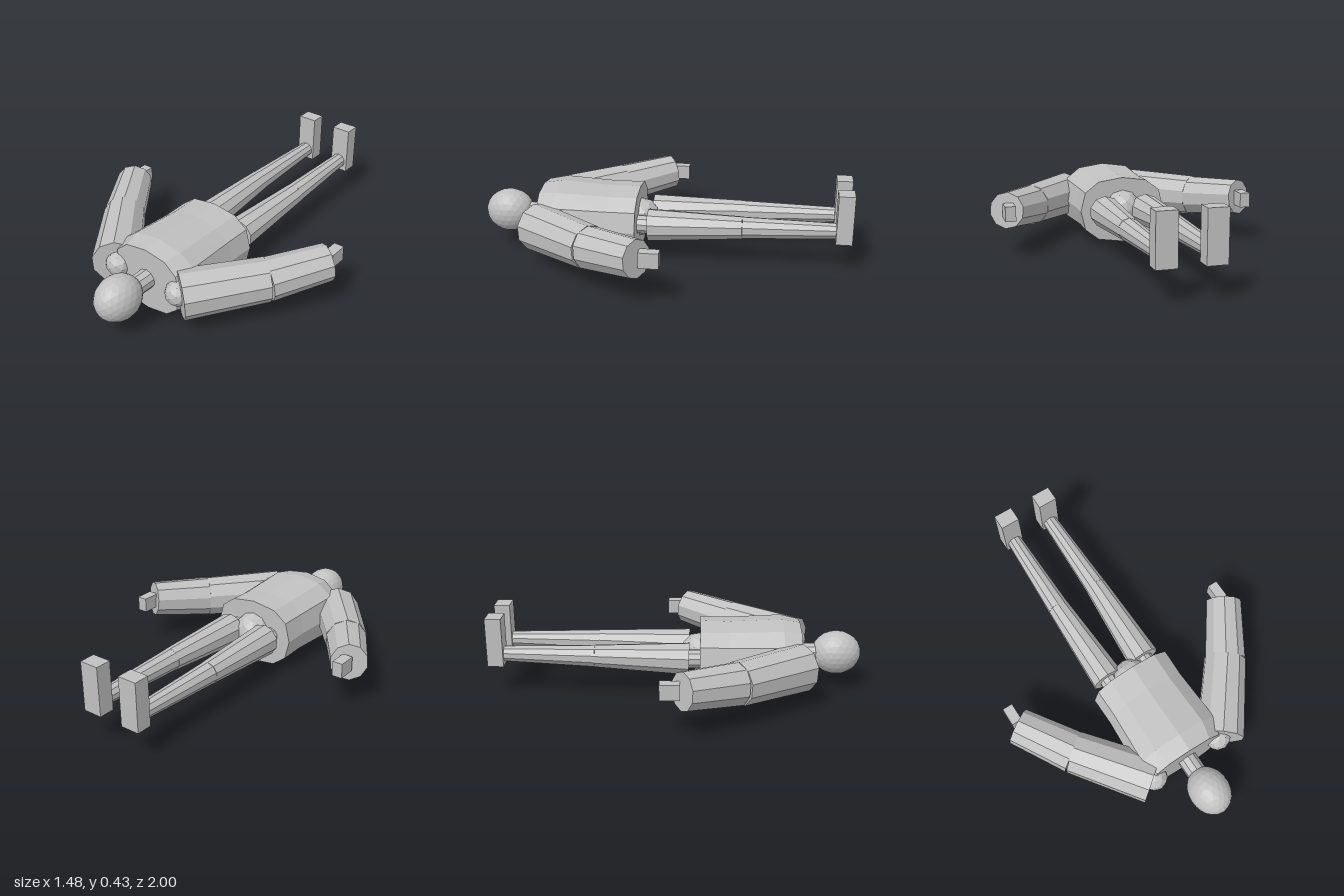
import * as THREE from 'three';

const grey = new THREE.MeshStandardMaterial({ color: 0xc0c0c0 });
grey.name = 'plain grey';
grey.flatShading = true;

export function createModel() {
  const group = new THREE.Group();
  const V = (x, y, z) => new THREE.Vector3(x, y, z);

  function add(name, geometry, position) {
    const mesh = new THREE.Mesh(geometry, grey);
    mesh.name = name;
    if (position) mesh.position.copy(position);
    group.add(mesh);
    return mesh;
  }

  // tapered limb between two joints
  function limb(name, a, ra, b, rb, sides = 10) {
    const dir = b.clone().sub(a);
    const mesh = add(name, new THREE.CylinderGeometry(rb, ra, dir.length(), sides),
      a.clone().add(b).multiplyScalar(0.5));
    mesh.quaternion.setFromUnitVectors(V(0, 1, 0), dir.normalize());
  }

  const ball = (name, p, r, detail = 1) => add(name, new THREE.IcosahedronGeometry(r, detail), p);

  // head and neck
  ball('head', V(0, 0.203, 0.867), 1, 3).scale.set(0.108, 0.119, 0.132);
  limb('neck', V(0, 0.2, 0.62), 0.053, V(0, 0.2, 0.78), 0.053);

  // torso: rounded oval rings [z, half width, half depth] from waist to shoulders
  const rings = [[0.13, 0.238, 0.182], [0.28, 0.235, 0.179], [0.57, 0.25, 0.194], [0.665, 0.215, 0.177]];
  const torso = new THREE.CylinderGeometry(1, 1, 3, 12, 3);
  torso.rotateX(Math.PI / 2);
  const pos = torso.attributes.position;
  const soften = (v) => Math.sign(v) * Math.pow(Math.abs(v) < 1e-6 ? 0 : Math.abs(v), 0.8);
  for (let i = 0; i < pos.count; i++) {
    const [z, w, d] = rings[Math.round(pos.getZ(i) + 1.5)];
    pos.setXYZ(i, soften(pos.getX(i)) * w, 0.194 + soften(pos.getY(i)) * d, z);
  }
  torso.computeVertexNormals();
  add('torso', torso);

  ball('pelvis', V(0, 0.2, 0.13), 0.105);

  for (const s of [1, -1]) {
    const side = s > 0 ? 'left' : 'right';

    // arm
    const shoulder = V(s * 0.214, 0.197, 0.66);
    const elbow = V(s * 0.484, 0.214, 0.317);
    const wrist = V(s * 0.661, 0.246, 0.045);
    ball(side + 'Shoulder', V(s * 0.2, 0.2, 0.655), 0.07);
    limb(side + 'UpperArm', shoulder, 0.128, elbow, 0.114);
    limb(side + 'Forearm', elbow, 0.112, wrist, 0.098);
    add(side + 'Hand', new THREE.BoxGeometry(0.056, 0.08, 0.1), V(s * 0.656, 0.248, -0.014));

    // leg
    const hip = V(s * 0.114, 0.2, 0.07);
    const knee = V(s * 0.122, 0.214, -0.43);
    const ankle = V(s * 0.118, 0.222, -0.92);
    limb(side + 'HipJoint', V(s * 0.11, 0.2, 0.16), 0.05, hip, 0.05);
    limb(side + 'Thigh', hip, 0.088, knee, 0.061);
    limb(side + 'Shin', knee, 0.06, ankle, 0.042);
    add(side + 'Foot', new THREE.BoxGeometry(0.105, 0.265, 0.085), V(s * 0.12, 0.298, -0.957));
  }
  return group;
}
